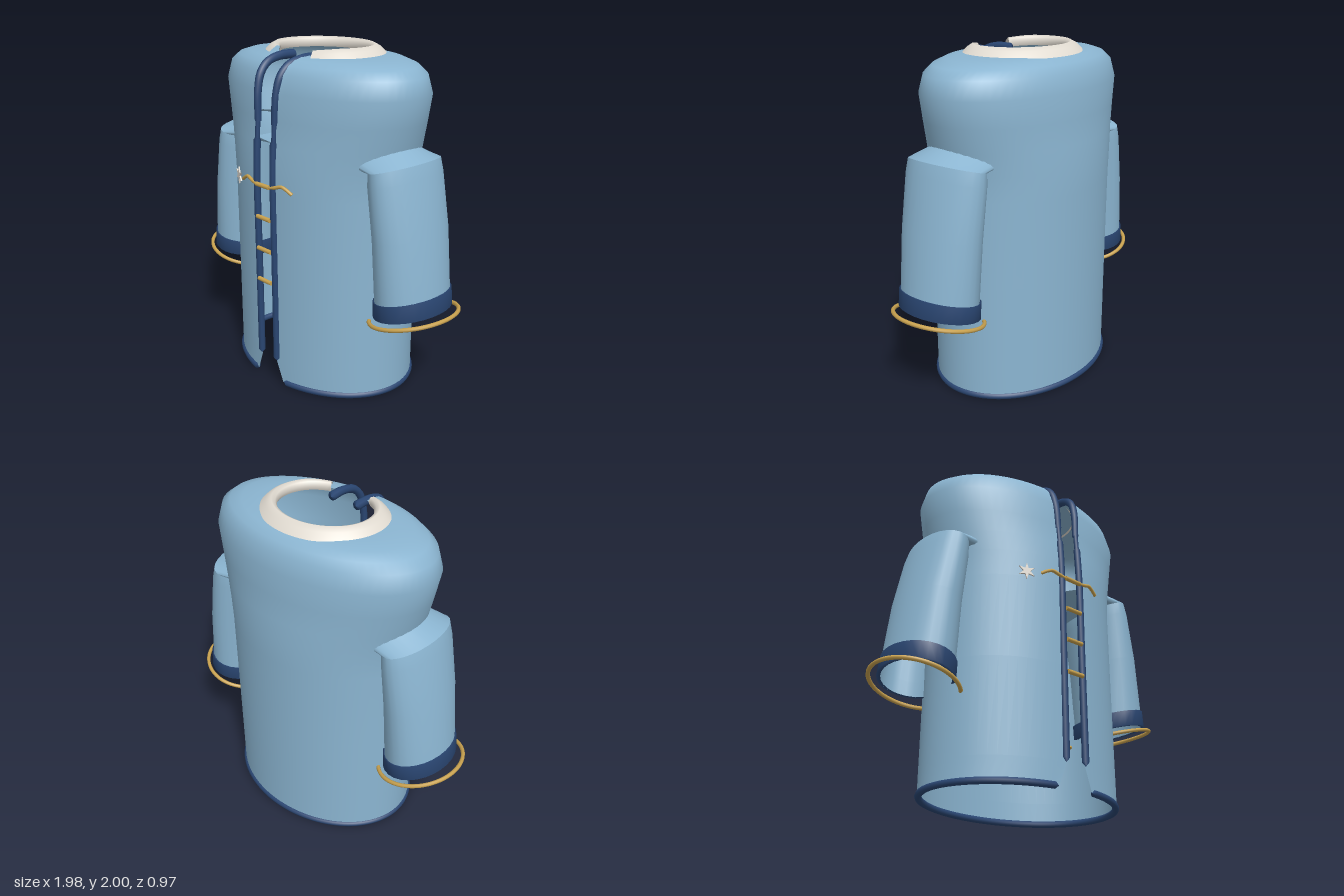
import * as THREE from 'three';

const mat = (name, color) => {
  const m = new THREE.MeshStandardMaterial({ color, side: THREE.DoubleSide });
  m.name = name;
  return m;
};
const V = (x, y, z) => new THREE.Vector3(x, y, z);

// Surface through a list of equally long rings; closed joins the ring ends
function loft(rings, closed) {
  const n = rings[0].length, pos = [], idx = [];
  rings.forEach(r => r.forEach(p => pos.push(p.x, p.y, p.z)));
  for (let i = 0; i < rings.length - 1; i++)
    for (let j = 0; j < (closed ? n : n - 1); j++) {
      const a = i * n + j, b = i * n + (j + 1) % n, c = a + n, d = b + n;
      idx.push(a, b, d, a, d, c);
    }
  const g = new THREE.BufferGeometry();
  g.setAttribute('position', new THREE.Float32BufferAttribute(pos, 3));
  g.setIndex(idx);
  g.computeVertexNormals();
  return g;
}

// Round cord along a curve, radius from r0 to r1, pinched shut at both ends
function cord(curve, r0, r1 = r0, n = 60) {
  const g = new THREE.TubeGeometry(curve, n, 1, 8), p = g.attributes.position, v = V(0, 0, 0);
  for (let i = 0; i <= n; i++) {
    const c = curve.getPointAt(i / n);
    const r = i === 0 || i === n ? 0.0005 : r0 + (r1 - r0) * i / n;
    for (let j = 0; j <= 8; j++) {
      const k = i * 9 + j;
      v.fromBufferAttribute(p, k).sub(c).multiplyScalar(r).add(c);
      p.setXYZ(k, v.x, v.y, v.z);
    }
  }
  return g;
}
const spline = pts => new THREE.CatmullRomCurve3(pts);

// Arc round the body, starting and ending at the front opening
function bodyRing(y, rx, rz, gap, n = 64) {
  const t0 = Math.asin(gap / rx), ring = [];
  for (let i = 0; i <= n; i++) {
    const t = t0 + (2 * Math.PI - 2 * t0) * i / n;
    ring.push(V(rx * Math.sin(t), y, rz * Math.cos(t) - 0.01));
  }
  return ring;
}

// Tilted sleeve ring between its inner and outer edge points
function sleeveRing([xi, yi, xo, yo, rz], grow = 0) {
  const ring = [], n = 28;
  for (let i = 0; i < n; i++) {
    const t = 2 * Math.PI * i / n, c = (1 + Math.cos(t)) / 2;
    ring.push(V(xi + (xo - xi) * c + grow * Math.cos(t), yi + (yo - yi) * c, (rz + grow) * Math.sin(t)));
  }
  return ring;
}

export function createModel() {
  const group = new THREE.Group();
  const blue = mat('blue cloth', 0x8bb5d1), navy = mat('navy trim', 0x2a4672);
  const gold = mat('gold', 0xc9a24f), cream = mat('cream', 0xe2dcd2);
  const add = (name, geo, m, parent = group) => {
    const mesh = new THREE.Mesh(geo, m);
    mesh.name = name;
    parent.add(mesh);
    return mesh;
  };

  // Coat body: y, half width, half depth, half opening
  const rows = [
    [0.02, 0.613, 0.463, 0.115], [0.15, 0.613, 0.463, 0.065], [0.7, 0.613, 0.463, 0.065],
    [1.2, 0.613, 0.465, 0.065], [1.36, 0.625, 0.465, 0.065], [1.48, 0.655, 0.452, 0.065],
    [1.62, 0.688, 0.442, 0.068], [1.77, 0.718, 0.438, 0.075], [1.87, 0.69, 0.41, 0.08],
    [1.915, 0.63, 0.375, 0.085], [1.94, 0.54, 0.335, 0.09], [1.952, 0.42, 0.29, 0.09],
    [1.955, 0.29, 0.24, 0.09]
  ];
  add('coatBody', loft(rows.map(r => bodyRing(...r)), false), blue);
  add('hem', cord(spline(bodyRing(0.02, 0.605, 0.458, 0.115)), 0.02, 0.02, 128), navy);

  // Collar, dipping at its front ends
  const collarRows = [
    [0.385, 0.33, 1.945], [0.345, 0.295, 1.982], [0.31, 0.262, 2.0],
    [0.287, 0.243, 1.99], [0.278, 0.233, 1.965], [0.29, 0.243, 1.94]
  ];
  add('collar', loft(collarRows.map(([rx, rz, y]) => {
    const ring = bodyRing(y, rx, rz, rx * 0.48);
    ring.forEach(p => { p.y -= 0.035 * Math.max(0, (p.z - 0.1) / 0.18) ** 2 * (rx > 0.3 ? 0.8 : 0.5); });
    return ring;
  }), false), cream);

  // Parts that exist on both sides
  for (const s of [1, -1]) {
    const side = s > 0 ? 'left' : 'right';
    const half = new THREE.Group();
    half.name = side + 'Side';
    group.add(half);
    const mirror = pts => pts.map(p => V(p.x * s, p.y, p.z));
    const part = (name, rings, m) => add(side + name, loft(rings.map(mirror), true), m, half);

    // Front edging
    add(side + 'LowerEdging', cord(spline(mirror([V(0.07, 0.15, 0.452), V(0.07, 0.8, 0.452), V(0.07, 1.3, 0.452),
      V(0.07, 1.52, 0.442)])), 0.02), navy, half);
    add(side + 'EdgingJoint', cord(spline(mirror([V(0.07, 1.48, 0.443), V(0.071, 1.64, 0.432)])), 0.014), navy, half);
    add(side + 'UpperEdging', cord(spline(mirror([V(0.07, 1.59, 0.433), V(0.077, 1.76, 0.424), V(0.083, 1.86, 0.395),
      V(0.088, 1.915, 0.34), V(0.09, 1.94, 0.25), V(0.088, 1.94, 0.14)])), 0.019, 0.027), navy, half);

    // Sleeve cap and sleeve
    const top = [0.515, 1.375, 0.762, 1.44, 0.265], end = [0.548, 0.64, 0.902, 0.72, 0.25];
    const low = [0.55, 0.548, 0.915, 0.62, 0.248];
    part('SleeveCap', [sleeveRing([0.14, 1.36, 0.63, 1.51, 0.22]), sleeveRing(top)], blue);
    part('Sleeve', [top, [0.513, 1.3, 0.787, 1.365, 0.27], [0.535, 1.0, 0.855, 1.06, 0.262], end, low]
      .map(r => sleeveRing(r)), blue);

    // Cuff with a rolled lower edge
    part('Cuff', [sleeveRing(end, 0.001), sleeveRing(end, 0.01), sleeveRing(low, 0.01), sleeveRing(low, -0.012)], navy);

    // Open gold hoop round the cuff
    const hoop = [];
    for (let i = 0; i <= 32; i++) {
      const t = (-1 + i / 16) * 2.5;
      hoop.push(V(0.74 + 0.24 * Math.cos(t), 0.55 + 0.06 * Math.cos(t), 0.265 * Math.sin(t)));
    }
    add(side + 'CuffHoop', cord(spline(mirror(hoop)), 0.012, 0.012, 80), gold, half);

    // Curled arm of the top clasp
    add(side + 'ClaspArm', cord(spline(mirror([V(0.05, 1.243, 0.468), V(0.1, 1.254, 0.465), V(0.145, 1.267, 0.457),
      V(0.175, 1.257, 0.45), V(0.215, 1.233, 0.44)])), 0.01), gold, half);
  }

  // Clasp bars across the opening
  for (const y of [1.245, 1.05, 0.855, 0.66]) {
    const bar = add('claspBar', new THREE.CylinderGeometry(0.013, 0.013, 0.112, 10), gold);
    bar.rotation.z = Math.PI / 2;
    bar.position.set(0, y, 0.47);
  }

  // Six-pointed star pin
  const star = new THREE.Shape();
  for (let i = 0; i < 12; i++) {
    const a = Math.PI * i / 6 + Math.PI / 2, r = i % 2 ? 0.02 : 0.052;
    star[i ? 'lineTo' : 'moveTo'](r * Math.cos(a), r * Math.sin(a));
  }
  const pin = add('starPin', new THREE.ExtrudeGeometry(star, { depth: 0.009, bevelEnabled: false }), cream);
  pin.position.set(-0.295, 1.23, 0.402);
  pin.rotation.y = -0.38;

  return group;
}
